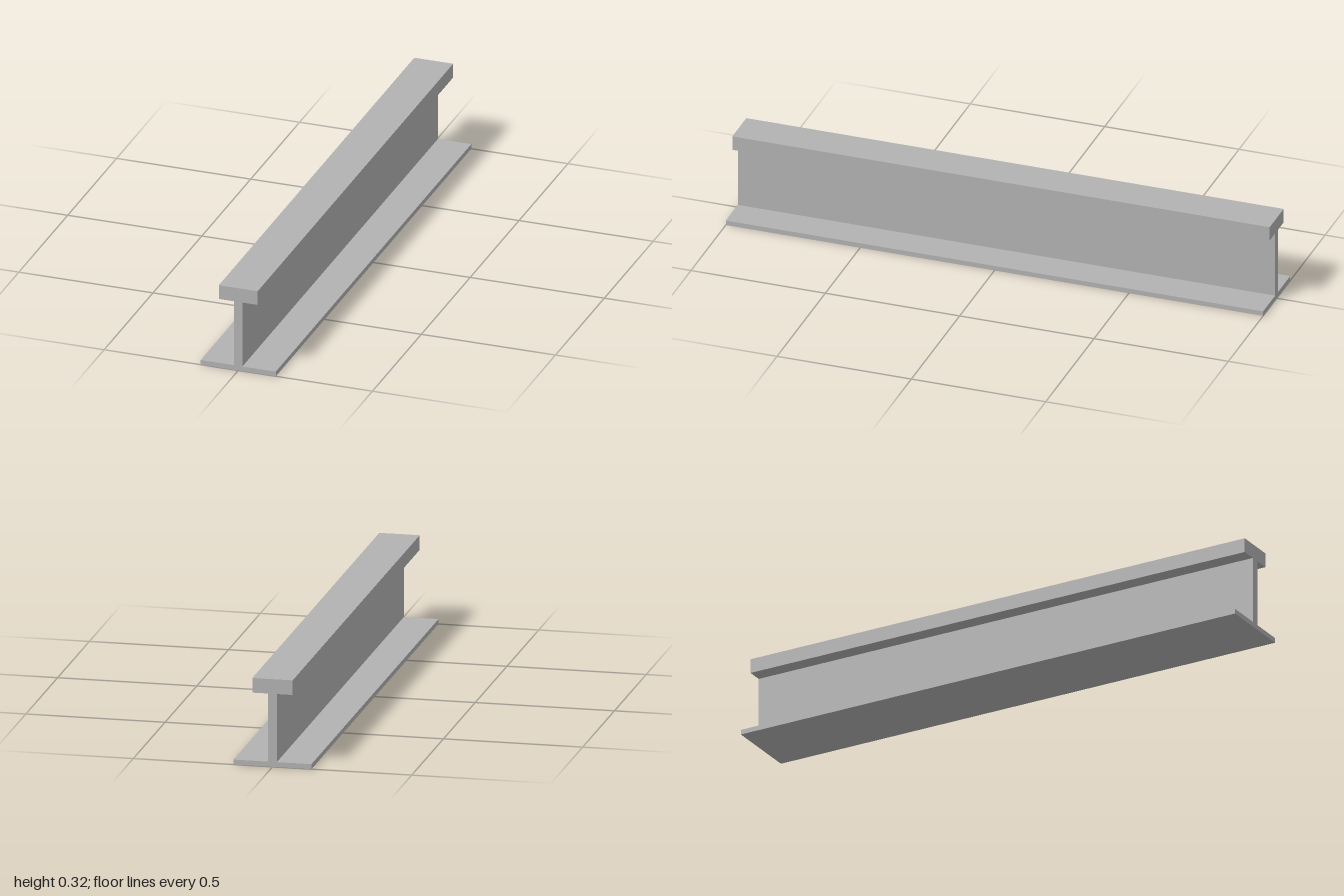
import * as THREE from 'three';

export function createModel() {
  const group = new THREE.Group();
  group.name = 'railBeam';
  const steel = new THREE.MeshStandardMaterial({ color: 0xb2b2b2 });
  steel.name = 'steel grey';

  // Right half of the cross-section, bottom to top: base flange, web, head
  const half = [
    [0.14, 0], [0.14, 0.018],
    [0.0155, 0.018], [0.0155, 0.265],
    [0.0725, 0.265], [0.0725, 0.318],
  ];
  const mirrored = half.map(([x, y]) => [-x, y]).reverse();
  const profile = new THREE.Shape([...half, ...mirrored].map(([x, y]) => new THREE.Vector2(x, y)));

  // Sweep the section along the full length
  const length = 2;
  const geometry = new THREE.ExtrudeGeometry(profile, { depth: length, bevelEnabled: false });
  geometry.translate(0, 0, -length / 2);

  const beam = new THREE.Mesh(geometry, steel);
  beam.name = 'beam';
  group.add(beam);
  return group;
}
